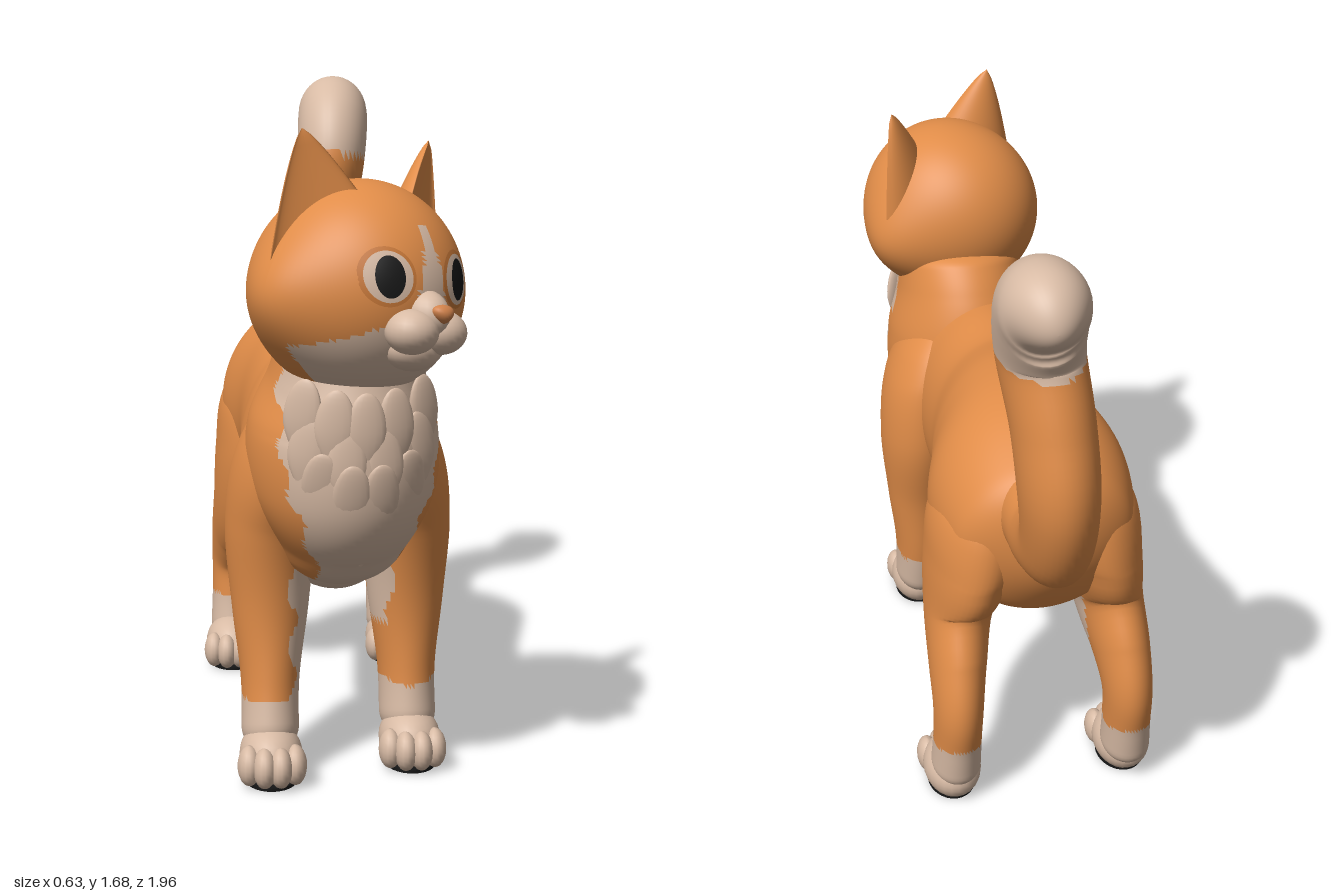
import * as THREE from 'three';

const mat = (name, color) => Object.assign(new THREE.MeshStandardMaterial({ color }), { name });
const orange = mat('orange fur', 0xe08c48);
const cream = mat('cream fur', 0xd8bba5);
const black = mat('black', 0x161616);
const noseColor = mat('nose', 0xd2834c);
const iris = mat('iris', 0xc87838);

function add(parent, name, geo, material) {
  const mesh = new THREE.Mesh(geo, material);
  mesh.name = name;
  parent.add(mesh);
  return mesh;
}

// Sorts triangles into an orange group and a cream group by their centre.
function paint(geo, isCream) {
  const p = geo.attributes.position, idx = geo.index.array, sets = [[], []];
  const c = new THREE.Vector3(), v = new THREE.Vector3();
  for (let i = 0; i < idx.length; i += 3) {
    c.set(0, 0, 0);
    for (let k = 0; k < 3; k++) c.add(v.fromBufferAttribute(p, idx[i + k]));
    c.divideScalar(3);
    sets[isCream(c) ? 1 : 0].push(idx[i], idx[i + 1], idx[i + 2]);
  }
  geo.setIndex([...sets[0], ...sets[1]]);
  geo.clearGroups();
  geo.addGroup(0, sets[0].length, 0);
  geo.addGroup(sets[0].length, sets[1].length, 1);
  return geo;
}
const fur = [orange, cream];

// Smooth skin through elliptical sections [x, y, z, half width, half depth], with rounded ends.
function loft(rows, steps, sides, capA, capB) {
  const path = new THREE.CatmullRomCurve3(rows.map(r => new THREE.Vector3(r[0], r[1], r[2])), false, 'catmullrom');
  const size = new THREE.CatmullRomCurve3(rows.map(r => new THREE.Vector3(r[3], r[4], 0)), false, 'catmullrom');
  const round = (t, cap) => Math.sqrt(1 - (1 - Math.min(t / cap, 1)) ** 2);
  const X = new THREE.Vector3(1, 0, 0), pos = [], index = [];
  for (let i = 0; i <= steps; i++) {
    const t = (1 - Math.cos(Math.PI * i / steps)) / 2;
    const c = path.getPoint(t), r = size.getPoint(t);
    const V = path.getTangent(t).cross(X).normalize();
    const k = round(t, capA) * round(1 - t, capB);
    for (let j = 0; j < sides; j++) {
      const a = j / sides * Math.PI * 2, s = Math.sin(a) * r.y * k;
      pos.push(c.x + Math.cos(a) * r.x * k, c.y + V.y * s, c.z + V.z * s);
      if (i === steps) continue;
      const p = i * sides + j, q = i * sides + (j + 1) % sides;
      index.push(p, q, p + sides, q, q + sides, p + sides);
    }
  }
  const geo = new THREE.BufferGeometry();
  geo.setAttribute('position', new THREE.Float32BufferAttribute(pos, 3));
  geo.setIndex(index);
  geo.computeVertexNormals();
  return geo;
}

// Moves every vertex by a rule.
function bend(geo, rule) {
  const p = geo.attributes.position, v = new THREE.Vector3();
  for (let i = 0; i < p.count; i++) {
    rule(v.fromBufferAttribute(p, i));
    p.setXYZ(i, v.x, v.y, v.z);
  }
  geo.computeVertexNormals();
  return geo;
}

const ball = (x, y, z, w = 24, h = 16) => new THREE.SphereGeometry(1, w, h).scale(x, y, z);

// Paw with four toes and a black sole
function makePaw(parent, name, x, z) {
  const paw = new THREE.Group();
  paw.name = name;
  paw.position.set(x, 0, z);
  const flat = v => { v.y = Math.max(v.y, 0.006); };
  add(paw, 'paw', bend(ball(0.075, 0.075, 0.105).translate(0, 0.06, -0.005), flat), cream);
  [-0.054, -0.019, 0.019, 0.054].forEach((tx, i) => {
    const tz = i % 3 ? 0.083 : 0.06;
    add(paw, 'toe', bend(ball(0.028, 0.048, 0.045, 16, 12).translate(tx, 0.052, tz), flat), cream);
  });
  add(paw, 'sole', new THREE.CylinderGeometry(1, 1, 0.008, 28).scale(0.062, 1, 0.088).translate(0, 0.004, 0.01), black);
  parent.add(paw);
}

function makeHead() {
  const head = new THREE.Group();
  head.name = 'head';
  head.position.set(0.025, 1.178, 0.68);
  head.rotation.set(0, 0.64, -0.08);
  const R = [0.236, 0.247, 0.245];
  const surface = (x, y) => R[2] * Math.sqrt(Math.max(0, 1 - (x / R[0]) ** 2 - (y / R[1]) ** 2));

  // Skull with full cheeks, a pale blaze and a pale lower face
  const skull = bend(ball(...R, 96, 72), v => {
    v.x *= 1 + 0.17 * Math.exp(-(((v.y + 0.04) / 0.13) ** 2) - (v.z / 0.13) ** 2);
    if (v.z < 0) v.z *= 1.08;
  });
  add(head, 'skull', paint(skull, c => {
    const x = Math.abs(c.x);
    const blaze = c.y < 0.15 && x < 0.008 + (0.15 - c.y) * 0.2;
    return c.z > 0.02 && (blaze || c.y < -0.02 - 0.5 * x);
  }), fur);

  // Muzzle, chin and nose
  for (const s of [-1, 1]) add(head, 'muzzle', ball(0.06, 0.05, 0.06).translate(s * 0.043 - 0.008, -0.08, 0.237), cream);
  add(head, 'chin', ball(0.07, 0.05, 0.06).translate(-0.008, -0.12, 0.196), cream);
  add(head, 'noseBridge', ball(0.05, 0.058, 0.068).translate(-0.008, -0.045, 0.225), cream);
  add(head, 'nose', bend(ball(0.034, 0.021, 0.024), v => { v.x *= 0.75 + v.y * 14; }).translate(-0.008, -0.038, 0.284), noseColor);

  for (const s of [-1, 1]) {
    // Eye layers laid on the skull surface
    const disc = (name, rx, ry, lift, material) =>
      add(head, name, bend(new THREE.RingGeometry(0, 1, 40, 8), v => {
        v.x = s * 0.097 - 0.01 + v.x * rx;
        v.y = 0.036 + v.y * ry;
        v.z = surface(v.x, v.y) + lift;
      }), material);
    disc('eyeRim', 0.058, 0.065, 0.003, iris);
    disc('eyeWhite', 0.049, 0.056, 0.005, cream);
    disc('pupil', 0.03, 0.046, 0.007, black);

    // Cupped ear
    const ear = bend(new THREE.ConeGeometry(1, 1, 40, 14), v => {
      const t = v.y + 0.5, r = Math.hypot(v.x, v.z) || 1e-6;
      const k = Math.min(1, r / Math.max(1 - t, 1e-6)) * Math.pow(Math.max(1 - t, 0), 0.8) * 0.135 / r;
      v.x *= k;
      v.z *= k;
      v.z = v.z > 0 ? -v.z * 0.2 + 0.004 : v.z * 0.7;
      v.y = t * 0.265;
    });
    const mesh = add(head, 'ear', ear, orange);
    mesh.position.set(s * 0.138, 0.092, 0.05);
    mesh.rotation.set(-0.08, s * 0.5, -s * 0.24);
  }
  return head;
}

export function createModel() {
  const cat = new THREE.Group();
  cat.name = 'cat';

  // Torso with a wavy pale belly
  const torso = loft([
    [0, 0.75, -0.585, 0.15, 0.17], [0, 0.765, -0.48, 0.225, 0.225], [0, 0.775, -0.3, 0.258, 0.288],
    [0, 0.765, -0.12, 0.22, 0.3], [-0.02, 0.73, 0.1, 0.202, 0.285], [-0.025, 0.72, 0.3, 0.205, 0.295],
    [-0.01, 0.72, 0.5, 0.19, 0.28], [0, 0.75, 0.68, 0.12, 0.2],
  ], 110, 96, 0.15, 0.14);
  add(cat, 'torso', paint(torso, c => c.z > -0.42 &&
    c.y < 0.545 + 0.024 * Math.sin(c.z * 32) + 0.01 * Math.sin(c.z * 60)), fur);

  // Neck, shoulders and chest with a pale bib narrowing downward
  const neckRows = [
    [-0.01, 0.47, 0.5, 0.11, 0.12], [0, 0.59, 0.53, 0.165, 0.21], [0, 0.72, 0.56, 0.222, 0.275],
    [0, 0.86, 0.565, 0.222, 0.275], [0.01, 0.98, 0.585, 0.182, 0.245], [0.02, 1.11, 0.62, 0.16, 0.18],
  ];
  add(cat, 'neckAndChest', paint(loft(neckRows, 100, 96, 0.15, 0.1), c =>
    c.z > 0.58 + 0.015 * Math.sin(c.y * 40) &&
    Math.abs(c.x - 0.03) < Math.min(0.185, 0.075 + 0.33 * (c.y - 0.45)) + 0.01 * Math.sin(c.y * 55)), fur);

  // Fur tufts on the bib, in staggered rows
  const tuft = bend(ball(1, 1, 1, 16, 14), v => {
    const k = v.y < 0 ? 1 - 0.6 * v.y * v.y : 1;
    v.set(v.x * k * 0.046, v.y * 0.09, v.z * k * 0.015);
  });
  [[0.87, 5, 0.14], [0.79, 4, 0.13], [0.71, 4, 0.1], [0.63, 3, 0.07], [0.57, 2, 0.03]].forEach(([y, n, w]) => {
    const i = neckRows.findIndex(r => r[1] > y) - 1, a = neckRows[i], b = neckRows[i + 1];
    const f = (y - a[1]) / (b[1] - a[1]), mix = k => a[k] + (b[k] - a[k]) * f;
    for (let j = 0; j < n; j++) {
      const u = j / (n - 1) * 2 - 1, x = 0.03 + u * w;
      const mesh = add(cat, 'chestTuft', tuft, cream);
      mesh.position.set(x, y + 0.03 * u * u, mix(2) + mix(4) * Math.sqrt(1 - (x / mix(3)) ** 2) - 0.002);
      mesh.rotation.set(y < 0.6 ? 0.6 : y < 0.75 ? 0.3 : 0.04, x * 4.2, u * 0.15, 'YXZ');
    }
  });

  // Legs: the right front leg stands a little ahead of the left
  for (const s of [-1, 1]) {
    const side = s > 0 ? 'left' : 'right', ahead = s > 0 ? 0 : 0.1;
    const front = [
      [0.07, 0.97, 0.48, 0.08, 0.13], [0.14, 0.78, 0.46, 0.108, 0.18], [0.165, 0.6, 0.425, 0.11, 0.155],
      [0.168, 0.4, 0.425, 0.092, 0.108], [0.17, 0.22, 0.435, 0.07, 0.095], [0.172, 0.05, 0.465, 0.07, 0.088],
    ].map(r => [s * r[0], r[1], r[2] + ahead * (1.1 - r[1] * 0.75), r[3], r[4]]);
    add(cat, side + 'FrontLeg', paint(loft(front, 64, 48, 0.14, 0.08), c =>
      c.y < 0.2 + 0.01 * Math.sin(c.z * 30) ||
      (c.y < 0.54 && c.y > (s > 0 ? 0.35 : 0) && s * c.x < 0.12 + 0.012 * Math.sin(c.y * 45))), fur);
    makePaw(cat, side + 'FrontPaw', s * 0.172, 0.5 + ahead);

    const back = [
      [0.07, 0.95, -0.34, 0.08, 0.12], [0.135, 0.8, -0.35, 0.12, 0.195], [0.168, 0.65, -0.34, 0.109, 0.21],
      [0.195, 0.5, -0.355, 0.088, 0.165], [0.213, 0.39, -0.435, 0.074, 0.122], [0.222, 0.29, -0.485, 0.064, 0.095],
      [0.225, 0.18, -0.478, 0.062, 0.082], [0.228, 0.05, -0.455, 0.066, 0.08],
    ].map(r => [s * r[0], ...r.slice(1)]);
    add(cat, side + 'BackLeg', paint(loft(back, 64, 48, 0.14, 0.06), c =>
      c.y < 0.19 + 0.008 * Math.sin(c.z * 40) ||
      (c.y > 0.38 && c.y < 0.56 && c.z > -0.42 && s * c.x < 0.14)), fur);
    makePaw(cat, side + 'BackPaw', s * 0.232, s > 0 ? -0.425 : -0.4);
  }

  // Raised tail with a flared root and a pale tip
  const tail = loft([
    [0.02, 0.84, -0.42, 0.12, 0.15], [0.035, 0.865, -0.54, 0.09, 0.108], [0.04, 0.875, -0.65, 0.082, 0.1],
    [0.04, 0.945, -0.77, 0.085, 0.115], [0.05, 1.1, -0.83, 0.092, 0.13], [0.06, 1.26, -0.805, 0.095, 0.127],
    [0.08, 1.42, -0.762, 0.1, 0.127], [0.09, 1.53, -0.81, 0.104, 0.125], [0.095, 1.578, -0.89, 0.1, 0.105],
    [0.095, 1.57, -0.998, 0.085, 0.09],
  ], 100, 40, 0.06, 0.14);
  add(cat, 'tail', paint(tail, c => c.y > 1.58 + c.z * 0.2), fur);

  cat.add(makeHead());
  return cat;
}
